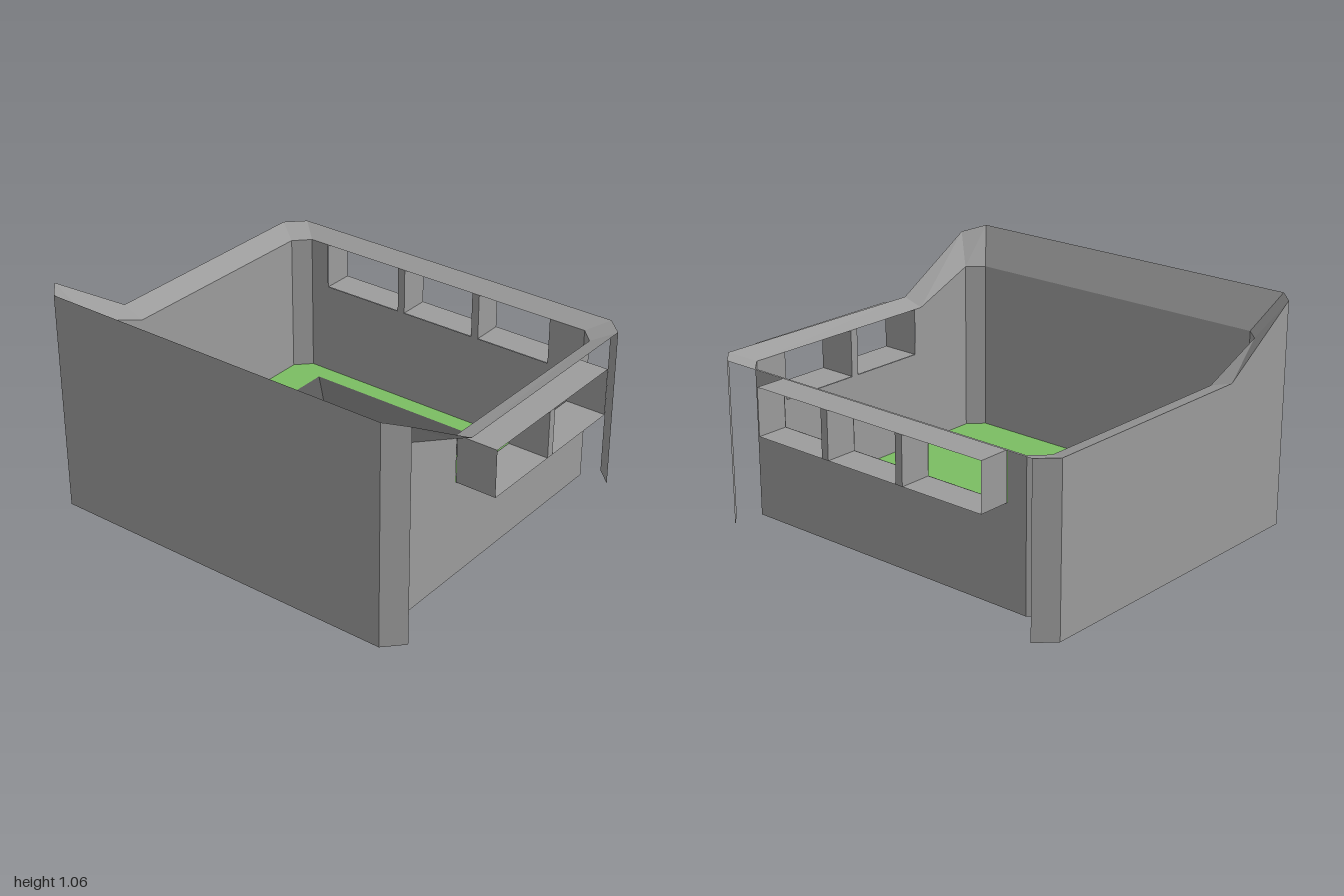
import * as THREE from 'three';

const gray = new THREE.MeshStandardMaterial({ color: 0x9c9c9c, side: THREE.DoubleSide });
gray.name = 'wall gray';
const green = new THREE.MeshStandardMaterial({ color: 0x7bbd62 });
green.name = 'floor green';
const dark = new THREE.MeshStandardMaterial({ color: 0x565656 });
dark.name = 'pit dark gray';

const FLOOR = 0.06, SILL = 0.525, LINTEL = 0.752;

// Plan outlines, counter-clockwise seen from above: [x, z, top height]
const outer = [
  [-0.887, 0.817, 1.06], [-0.8, 0.9, 1.03], [-0.39, 0.9, 0.788], [0.735, 0.9, 0.792], [0.817, 0.817, 0.792],
  [0.817, -0.917, 0.792], [0.735, -1, 0.792], [-0.39, -1, 0.79], [-0.8, -1, 1.06], [-0.887, -0.917, 1.06],
];
const inner = [
  [-0.79, 0.735, 0.885], [-0.72, 0.804, 0.885], [-0.4, 0.804, LINTEL], [0.657, 0.804, LINTEL], [0.728, 0.735, LINTEL],
  [0.728, -0.816, LINTEL], [0.657, -0.886, LINTEL], [-0.4, -0.886, LINTEL], [-0.72, -0.886, 0.885], [-0.79, -0.816, 0.885],
];

// Flat-shaded mesh from four-cornered faces
function quadMesh(name, quads, material) {
  const pos = [];
  for (const [a, b, c, d] of quads) pos.push(...a, ...b, ...c, ...a, ...c, ...d);
  const g = new THREE.BufferGeometry();
  g.setAttribute('position', new THREE.Float32BufferAttribute(pos, 3));
  g.computeVertexNormals();
  const m = new THREE.Mesh(g, material);
  m.name = name;
  return m;
}

// Upright face between two plan points
const upright = (a, b, y0, ya, yb) =>
  [[a[0], y0, a[1]], [b[0], y0, b[1]], [b[0], yb, b[1]], [a[0], ya, a[1]]];

const top = ([x, z, y]) => [x, y, z];
const next = (ring, i) => ring[(i + 1) % ring.length];

// Wall with a row of windows up to its top edge; solids are [from, to] fractions
function windowedWall(a, b, solids) {
  const at = t => [a[0] + (b[0] - a[0]) * t, a[1] + (b[1] - a[1]) * t];
  return [
    upright(b, a, FLOOR, SILL, SILL),
    ...solids.map(([s, e]) => upright(at(e), at(s), SILL, LINTEL, LINTEL)),
  ];
}

// Open window surround along local x, from depth d0 out to d1
function windowFrame(name, u0, u1, dividers, d0, d1) {
  const group = new THREE.Group();
  group.name = name;
  const y0 = SILL, y1 = 0.75;
  group.add(quadMesh('surround', [
    [[u0, y1, d1], [u1, y1, d1], [u1, y1, d0], [u0, y1, d0]],
    [[u0, y0, d0], [u1, y0, d0], [u1, y0, d1], [u0, y0, d1]],
    [[u0, y0, d0], [u0, y0, d1], [u0, y1, d1], [u0, y1, d0]],
    [[u1, y0, d1], [u1, y0, d0], [u1, y1, d0], [u1, y1, d1]],
  ], gray));
  for (const [s, e] of dividers) {
    const post = new THREE.Mesh(new THREE.BoxGeometry(e - s, y1 - y0, d1 - d0), gray);
    post.position.set((s + e) / 2, (y0 + y1) / 2, (d0 + d1) / 2);
    post.name = 'divider';
    group.add(post);
  }
  return group;
}

// Sunken tray with sloping sides
function pit(name, yTop, yBottom, material) {
  const ring = (x0, x1, z0, z1, y) => [[x0, y, z1], [x1, y, z1], [x1, y, z0], [x0, y, z0]];
  const rim = ring(0.005, 0.64, -0.71, 0.262, yTop);
  const base = ring(0.105, 0.54, -0.6, 0.157, yBottom);
  const quads = rim.map((p, i) => [p, next(rim, i), next(base, i), base[i]]);
  return quadMesh(name, [...quads, base], material);
}

// Floor sheet with a hole for the pit
function floorSheet(name, y, material) {
  const shape = new THREE.Shape(inner.map(([x, z]) => new THREE.Vector2(x, -z)));
  shape.holes.push(new THREE.Path([[0.005, -0.262], [0.005, 0.71], [0.64, 0.71], [0.64, -0.262]]
    .map(([x, v]) => new THREE.Vector2(x, v))));
  const m = new THREE.Mesh(new THREE.ShapeGeometry(shape).rotateX(-Math.PI / 2), material);
  m.position.y = y;
  m.name = name;
  return m;
}

export function createModel() {
  const model = new THREE.Group();
  model.name = 'walledRoom';

  // Outer shell: open on the front and on the +x side, where only the corners stand
  const outerFaces = [0, 3, 5, 6, 7, 8, 9].map(i => {
    const a = outer[i], b = next(outer, i);
    return upright(a, b, 0.01, a[2], b[2]);
  });
  model.add(quadMesh('outerWalls', outerFaces, gray));

  // Sloping rim joining outer and inner walls
  model.add(quadMesh('rim', outer.map((a, i) =>
    [top(a), top(next(outer, i)), top(next(inner, i)), top(inner[i])]), gray));

  // Inner walls, two of them with windows
  const innerFaces = [];
  const frontDividers = [[0.033, 0.071]];
  const sideDividers = [[-0.168, -0.131], [0.257, 0.294]];
  inner.forEach((a, i) => {
    const b = next(inner, i);
    if (i === 2) {
      const f = x => (x - a[0]) / (b[0] - a[0]);
      const solids = [[a[0], -0.355], ...frontDividers, [0.488, b[0]]];
      innerFaces.push(...windowedWall(a, b, solids.map(s => s.map(f))));
    } else if (i === 4) {
      const f = u => (-u - a[1]) / (b[1] - a[1]);
      const solids = [[-a[1], -0.553], ...sideDividers, [0.717, -b[1]]];
      innerFaces.push(...windowedWall(a, b, solids.map(s => s.map(f))));
    } else innerFaces.push(upright(b, a, FLOOR, b[2], a[2]));
  });
  model.add(quadMesh('innerWalls', innerFaces, gray));

  // Window surrounds
  model.add(windowFrame('frontWindow', -0.355, 0.488, frontDividers, 0.806, 1));
  const side = windowFrame('sideWindow', -0.553, 0.717, sideDividers, 0.73, 0.883);
  side.rotation.y = Math.PI / 2;
  model.add(side);

  // Floor and pit, each with a gray underside
  model.add(floorSheet('floor', 0.064, green), floorSheet('floorUnderside', FLOOR, gray));
  model.add(pit('pit', 0.064, 0.004, dark), pit('pitUnderside', FLOOR, 0, gray));
  return model;
}
